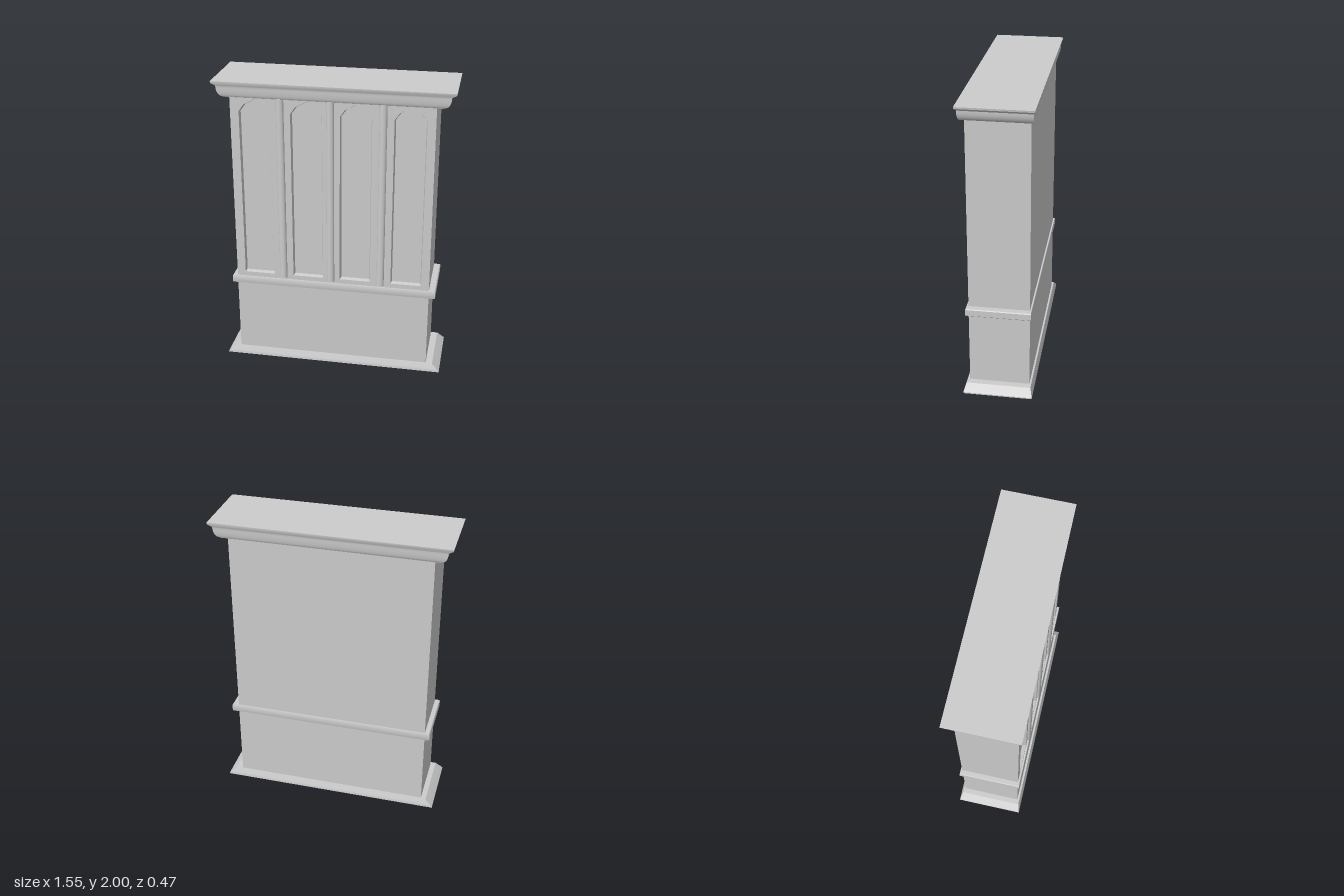
import * as THREE from 'three';
import { toCreasedNormals } from 'three/addons/utils/BufferGeometryUtils.js';

const material = new THREE.MeshStandardMaterial({ color: 0xcccccc });

// Skins a stack of equal-length loops; the last loop is capped, the first optionally.
function loft(loops, capStart) {
  const pos = [];
  const tri = (...pts) => pts.forEach((p) => pos.push(...p));
  const n = loops[0].length;
  for (let k = 0; k < loops.length - 1; k++) {
    const a = loops[k], b = loops[k + 1];
    for (let i = 0; i < n; i++) {
      const j = (i + 1) % n;
      tri(a[i], a[j], b[j]);
      tri(a[i], b[j], b[i]);
    }
  }
  const first = loops[0], last = loops[loops.length - 1];
  for (let i = 1; i < n - 1; i++) {
    tri(last[0], last[i], last[i + 1]);
    if (capStart) tri(first[0], first[i + 1], first[i]);
  }
  const g = new THREE.BufferGeometry();
  g.setAttribute('position', new THREE.Float32BufferAttribute(pos, 3));
  return toCreasedNormals(g, 0.5);
}

// Rectangular moulding from a [half width, height] profile; depth keeps a fixed ratio to width.
function moulding(profile, ratio = 0.303) {
  return loft(profile.map(([w, y]) => {
    const d = w * ratio;
    return [[w, y, d], [w, y, -d], [-w, y, -d], [-w, y, d]];
  }), true);
}

// Pointed-arch outline, counter-clockwise, shrunk by an inset.
function archPoints(cx, inset) {
  const w = 0.103 - inset;
  return [
    [cx - w, 0.648 + inset], [cx + w, 0.648 + inset],
    [cx + w, 1.8], [cx + w - 0.032, 1.846 - inset * 0.5],
    [cx, 1.885 - inset], [cx - w + 0.032, 1.846 - inset * 0.5], [cx - w, 1.8],
  ];
}

export function createModel() {
  const group = new THREE.Group();
  const add = (name, geometry, x = 0, y = 0, z = 0) => {
    const mesh = new THREE.Mesh(geometry, material);
    mesh.name = name;
    mesh.position.set(x, y, z);
    group.add(mesh);
    return mesh;
  };

  const left = -0.665, right = 0.655, front = 0.198, back = -0.2, recess = 0.172;
  const width = right - left, midX = (left + right) / 2;
  const top = 1.91, split = 0.59, coreFront = 0.17;

  // Carcass
  add('lowerCabinet', new THREE.BoxGeometry(width, split, front - back), midX, split / 2, (front + back) / 2);
  add('upperCabinet', new THREE.BoxGeometry(width, top - split, coreFront - back),
    midX, (top + split) / 2, (coreFront + back) / 2);

  // Upper front with arched openings
  const panelCentres = [-0.505, -0.168, 0.152, 0.498];
  const face = new THREE.Shape([[left, split], [right, split], [right, top], [left, top]]
    .map((p) => new THREE.Vector2(...p)));
  panelCentres.forEach((cx) => {
    face.holes.push(new THREE.Path(archPoints(cx, 0).map((p) => new THREE.Vector2(...p))));
  });
  add('doorFrame', new THREE.ExtrudeGeometry(face, { depth: front - coreFront, bevelEnabled: false }), 0, 0, coreFront);

  // Recessed panels with slightly splayed edges
  panelCentres.forEach((cx) => {
    const loops = [[0, front], [0.007, recess]]
      .map(([inset, z]) => archPoints(cx, inset).map(([x, y]) => [x, y, z]));
    add('archedPanel', loft(loops, false));
  });

  // Half-round pilasters between the panels
  [-0.338, -0.013, 0.325].forEach((x) => {
    const g = new THREE.CylinderGeometry(0.025, 0.025, 1.27, 16, 1, false, -Math.PI / 2, Math.PI);
    g.scale(1, 1, 0.8);
    add('pilaster', g, x, 0.63 + 1.27 / 2, front - 0.001);
  });

  // Base, waist band and cornice
  add('plinth', moulding([[0.75, 0], [0.75, 0.008], [0.735, 0.022], [0.7, 0.052]]));
  add('waistBand', moulding([[0.694, 0.565], [0.699, 0.57], [0.699, 0.611], [0.694, 0.616]]));
  const cornice = [[0.7, 1.896]];
  for (let i = 0; i <= 8; i++) {
    const a = (i / 8) * Math.PI / 2;
    cornice.push([0.705 + 0.04 * Math.sin(a), 1.968 - 0.068 * Math.cos(a)]);
  }
  cornice.push([0.75, 1.973], [0.775, 1.988], [0.777, 2]);
  add('cornice', moulding(cornice));

  return group;
}
